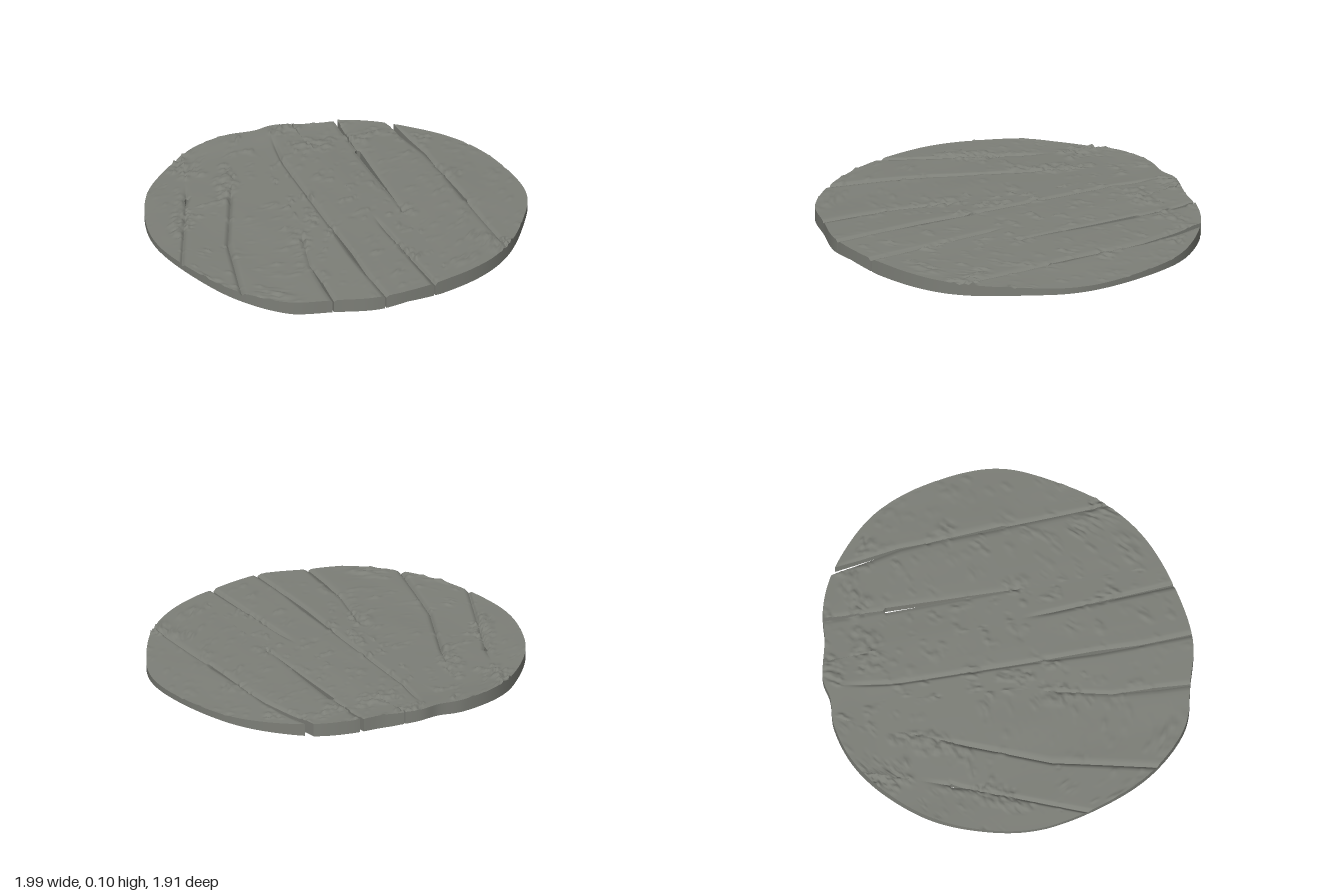
import * as THREE from 'three';
import { mergeGeometries } from 'three/addons/utils/BufferGeometryUtils.js';

const { lerp, smoothstep, clamp } = THREE.MathUtils;

// Rim of the disc, as x, z pairs
const RIM = [
  [0.995, 0], [0.97, 0.2], [0.87, 0.4], [0.665, 0.67], [0.395, 0.845], [-0.13, 0.95], [-0.385, 0.885],
  [-0.6, 0.815], [-0.795, 0.62], [-0.92, 0.365], [-0.997, -0.03], [-0.945, -0.32], [-0.795, -0.61],
  [-0.475, -0.885], [-0.23, -0.957], [-0.075, -0.945], [0.03, -0.96], [0.245, -0.905], [0.405, -0.88],
  [0.595, -0.79], [0.835, -0.56], [0.94, -0.345],
];

// Seams between planks. path: z, x; gaps: z at the wide end, z at the tip, width; groove: z from, z to, depth
const seam = (path, gaps, groove) => ({ path, gaps, groove });
const seams = [
  seam([[-1.1, -0.42], [-0.43, -0.67], [1.1, -1.35]], [[-0.44, -0.38, 0.022]], [-0.6, 0.3, 0.014]),
  seam([[-1.1, -0.12], [0.1, -0.655], [1.1, -0.92]], [[1.1, 0.5, 0.01]], [-0.5, 1, 0.018]),
  seam([[-1.1, -0.1], [0, -0.23], [0.48, -0.355], [1.1, -0.41]],
    [[0.72, 0.48, 0.014], [0.72, 1.1, 0.014]], [0.1, 1, 0.01]),
  seam([[-1.1, 0.02], [-0.6, -0.065], [0.66, -0.125]],
    [[0.45, 0.07, 0.017], [0.45, 0.75, 0.017], [1.1, 0.6, 0.01]], [-0.9, 1, 0.012]),
  seam([[-1.1, 0.12], [1.1, 0.165]], [[-1.1, -0.8, 0.015], [1.1, 0.3, 0.012]], [0.1, 1, 0.015]),
  seam([[-1.1, 0.36], [1.1, 0.27]], [[-1, -0.57, 0.027], [-0.57, 0.04, 0.028]], [-1, 0.1, 0.006]),
  seam([[-1.1, 0.56], [-0.42, 0.655], [0.65, 0.66]],
    [[-0.95, -0.3, 0.045], [0.12, -0.3, 0.016], [0.12, 0.15, 0.016]], [-0.8, 0.7, 0.01]),
];

// Worn patches: x, z, half length along the grain, half width
const PATCHES = [
  [-0.55, -0.72, 0.17, 0.09], [-0.78, -0.22, 0.24, 0.07], [-0.42, -0.5, 0.25, 0.08], [0.14, -0.7, 0.11, 0.15],
  [0.06, -0.89, 0.06, 0.12], [0.43, -0.7, 0.1, 0.12], [-0.09, -0.21, 0.06, 0.05], [-0.31, 0.22, 0.2, 0.1],
  [-0.16, 0, 0.14, 0.05], [-0.65, 0.71, 0.1, 0.12], [0.38, 0.73, 0.07, 0.16], [0.59, 0.56, 0.2, 0.08],
  [0.33, 0.12, 0.08, 0.05], [0.7, -0.18, 0.1, 0.05], [0.17, 0.55, 0.2, 0.04],
];

// Linear lookup of y in x, y rows sorted by x
function lookup(rows, t) {
  let k = 1;
  while (k < rows.length - 1 && t > rows[k][0]) k++;
  const [a, b] = [rows[k - 1], rows[k]];
  return lerp(a[1], b[1], clamp((t - a[0]) / (b[0] - a[0]), 0, 1));
}

// Smooth value noise from a fixed hash
function hash(i, j) {
  let h = (Math.imul(i, 374761393) + Math.imul(j, 668265263)) | 0;
  h = Math.imul(h ^ (h >>> 13), 1274126177);
  return ((h ^ (h >>> 16)) >>> 0) / 4294967296;
}
function noise(x, z) {
  const i = Math.floor(x), j = Math.floor(z);
  const u = smoothstep(x - i, 0, 1), v = smoothstep(z - j, 0, 1);
  return lerp(lerp(hash(i, j), hash(i + 1, j), u), lerp(hash(i, j + 1), hash(i + 1, j + 1), u), v);
}

// Rim radius by angle
const rimTable = new THREE.CatmullRomCurve3(RIM.map(([x, z]) => new THREE.Vector3(x, 0, z)), true)
  .getPoints(400)
  .map((p) => [Math.atan2(p.z, p.x), Math.hypot(p.x, p.z)])
  .sort((a, b) => a[0] - b[0]);
const radii = Array.from({ length: 722 }, (_, k) => lookup(rimTable, -Math.PI + (k * Math.PI) / 360));
function inside(x, z) {
  const t = ((Math.atan2(z, x) + Math.PI) * 360) / Math.PI, k = Math.floor(t);
  return Math.hypot(x, z) < lerp(radii[k], radii[k + 1], t - k);
}
// Last value between a (passing) and b (failing) that still passes
function limit(a, b, test) {
  for (let k = 0; k < 24; k++) {
    const m = (a + b) / 2;
    if (test(m)) a = m; else b = m;
  }
  return a;
}
const rimX = (z, side) => side * limit(0, 1.2, (x) => inside(side * x, z));

// Edge of a seam on one side, and the groove along it
function seamX({ path, gaps }, z, side) {
  let width = 0;
  for (const [wide, tip, w] of gaps) {
    const t = (z - tip) / (wide - tip);
    if (t > 0 && t <= 1) width = Math.max(width, w * t);
  }
  return lookup(path, z) + (side * width) / 2;
}
function grooveDepth({ groove: [from, to, depth] }, z, distance) {
  const fade = smoothstep(z, from, from + 0.2) * (1 - smoothstep(z, to, to + 0.1));
  return depth * fade * Math.exp(-((distance / 0.01) ** 2));
}

// How worn the wood is at a point; the grain leans further on the right side
function wear(x, z) {
  let w = 0;
  for (const [px, pz, long, wide] of PATCHES) {
    const slant = clamp(-0.8 * px, -0.3, 0.45);
    const c = Math.cos(slant), s = Math.sin(slant), dx = x - px, dz = z - pz;
    w = Math.max(w, 1 - Math.hypot((dx * c + dz * s) / wide, (dz * c - dx * s) / long));
  }
  return smoothstep(w + (noise(x * 22, z * 22) - 0.5) * 0.8, 0.1, 0.4);
}

// Heights of the two faces
const TOP = [[-1, 0.072], [-0.6, 0.068], [0, 0.078], [0.6, 0.069], [1, 0.058]];
const BOTTOM = [[-1, 0.034], [-0.6, 0.004], [-0.15, 0.008], [0, 0.018], [0.2, 0.004], [0.6, 0.005], [1, 0.019]];
function topY(x, z) {
  const bump = (noise(x * 55, z * 55) - 0.35) * 0.022 + (noise(x * 110, z * 110) - 0.5) * 0.008;
  return lookup(TOP, x) + (noise(x * 7 + 9, z * 3) - 0.5) * 0.006 + wear(x, z) * bump
    + 0.01 * smoothstep(-z, 0.75, 0.96);
}
function bottomY(x, z) {
  return lookup(BOTTOM, x) - 0.004 + 0.011 * (1 - smoothstep(Math.abs(z), 0.3, 0.75))
    + 0.014 * smoothstep(-z, 0.8, 0.96);
}

// Surface through rows of points
function surface(rows) {
  const n = rows[0].length, index = [];
  for (let j = 0; j < rows.length - 1; j++) {
    for (let i = 0; i < n - 1; i++) {
      const a = j * n + i, b = a + n;
      index.push(a, b, a + 1, b, b + 1, a + 1);
    }
  }
  const g = new THREE.BufferGeometry();
  g.setAttribute('position', new THREE.Float32BufferAttribute(rows.flat(2), 3));
  g.setIndex(index);
  g.computeVertexNormals();
  return g;
}

// One plank between two neighbouring seams, or a seam and the rim
function plankGeometry(left, right) {
  const cols = 20, rows = 136, top = [], bottom = [];
  const leftX = (z) => (left ? seamX(left, z, 1) : rimX(z, -1));
  const rightX = (z) => (right ? seamX(right, z, -1) : rimX(z, 1));
  const outer = !left || !right;
  const ease = (t) => (1 - Math.cos(Math.PI * t)) / 2;
  const us = Array.from({ length: cols + 1 }, (_, i) => (i / cols + ease(i / cols)) / 2);
  const across = (u, z) => {
    if (outer) return left ? leftX(z) : rightX(z);
    return lerp(leftX(z), rightX(z), u);
  };
  const ends = us.map((u) => [-1.1, 1.1].map((far) => limit(0, far, (z) => inside(across(u, z), z))));
  for (let j = 0; j <= rows; j++) {
    const t = outer ? ease(j / rows) : j / rows;
    top.push([]);
    bottom.push([]);
    us.forEach((u, i) => {
      const z = lerp(ends[i][0], ends[i][1], t);
      const l = leftX(z), r = rightX(z), x = lerp(l, r, u), low = bottomY(x, z);
      let y = topY(x, z);
      if (left) y -= grooveDepth(left, z, x - l);
      if (right) y -= grooveDepth(right, z, r - x);
      top[j].push([x, Math.max(y, low + 0.01), z]);
      bottom[j].push([x, low, z]);
    });
  }
  const column = (grid, i) => grid.map((row) => row[i]);
  const flip = (row) => [...row].reverse();
  return mergeGeometries([
    surface(top),
    surface(bottom.map(flip)),
    surface([column(top, 0), column(bottom, 0)]),
    surface([top[rows], bottom[rows]]),
    surface([flip(column(top, cols)), flip(column(bottom, cols))]),
    surface([flip(top[0]), flip(bottom[0])]),
  ]);
}

export function createModel() {
  const group = new THREE.Group();
  group.name = 'roundWoodenTop';
  const wood = new THREE.MeshStandardMaterial({ color: 0x7d7f78 });
  wood.name = 'weatheredGreyWood';
  for (let k = 0; k <= seams.length; k++) {
    const plank = new THREE.Mesh(plankGeometry(seams[k - 1], seams[k]), wood);
    plank.name = `plank${k + 1}`;
    group.add(plank);
  }
  return group;
}
